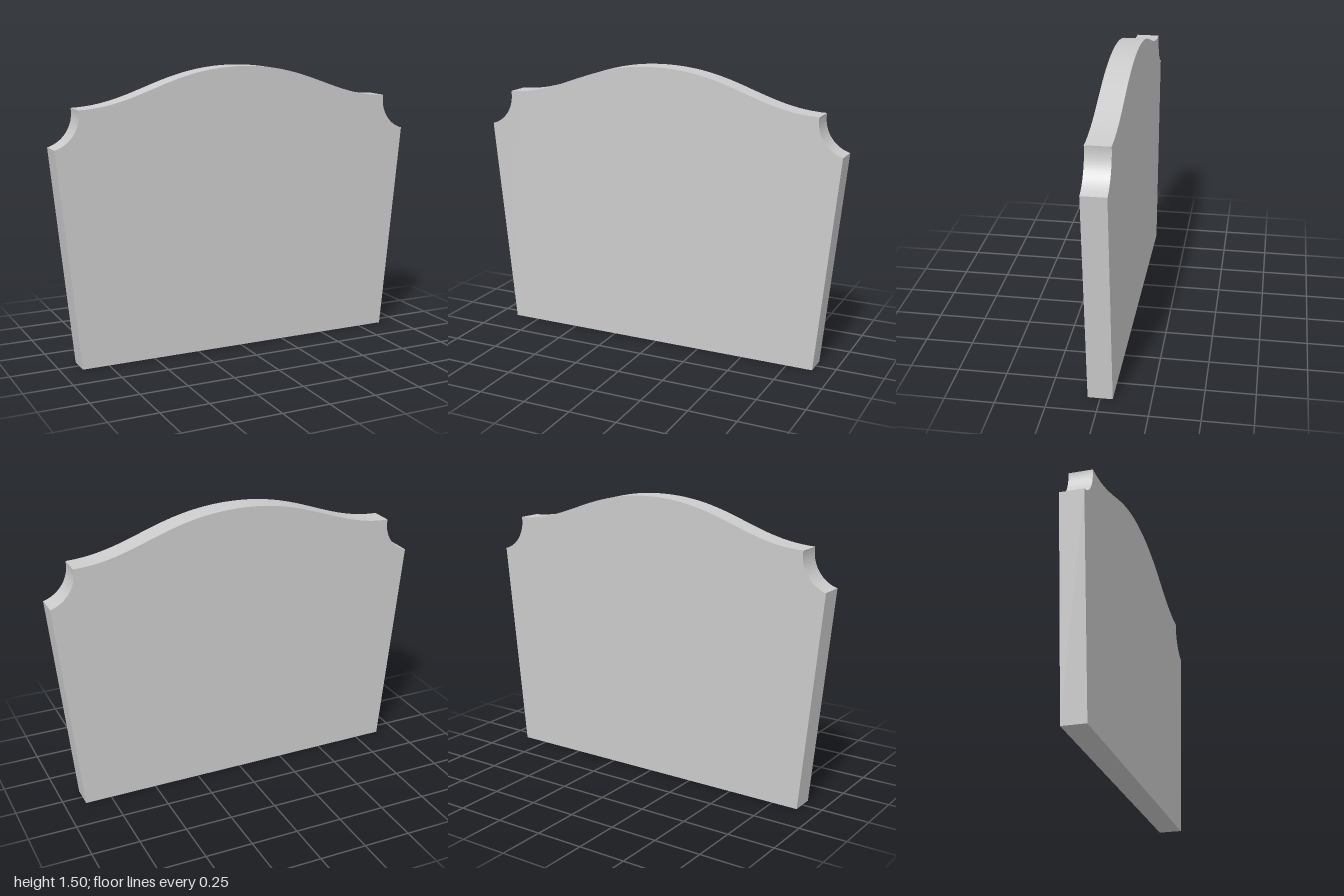
import * as THREE from 'three';
import { toCreasedNormals } from 'three/addons/utils/BufferGeometryUtils.js';

const DEPTH = 0.124;

// Tapered outline with scooped shoulders and a serpentine crest
function panelShape() {
  const cx = 1.043, cy = 1.291, r = 0.17;
  const low = Math.atan2(1.127 - cy, 1 - cx);
  const high = Math.atan2(1.315 - cy, 0.875 - cx);
  const s = new THREE.Shape();
  s.moveTo(-0.89, 0);
  s.lineTo(0.89, 0);
  s.lineTo(1, 1.127);
  s.absarc(cx, cy, r, low, high, true);
  s.bezierCurveTo(0.55, 1.32, 0.4, 1.5, 0, 1.5);
  s.bezierCurveTo(-0.4, 1.5, -0.55, 1.32, -0.875, 1.315);
  s.absarc(-cx, cy, r, Math.PI - high, Math.PI - low, true);
  s.closePath();
  return s;
}

export function createModel() {
  const group = new THREE.Group();
  group.name = 'headboard';

  // Solid board, smooth along its curves and crisp at its corners
  const geometry = new THREE.ExtrudeGeometry(panelShape(), {
    depth: DEPTH, bevelEnabled: false, curveSegments: 32,
  });
  geometry.translate(0, 0, -DEPTH / 2);
  const panel = new THREE.Mesh(
    toCreasedNormals(geometry, Math.PI / 7),
    new THREE.MeshStandardMaterial({ color: 0xcccccc }),
  );
  panel.name = 'panel';
  group.add(panel);
  return group;
}
